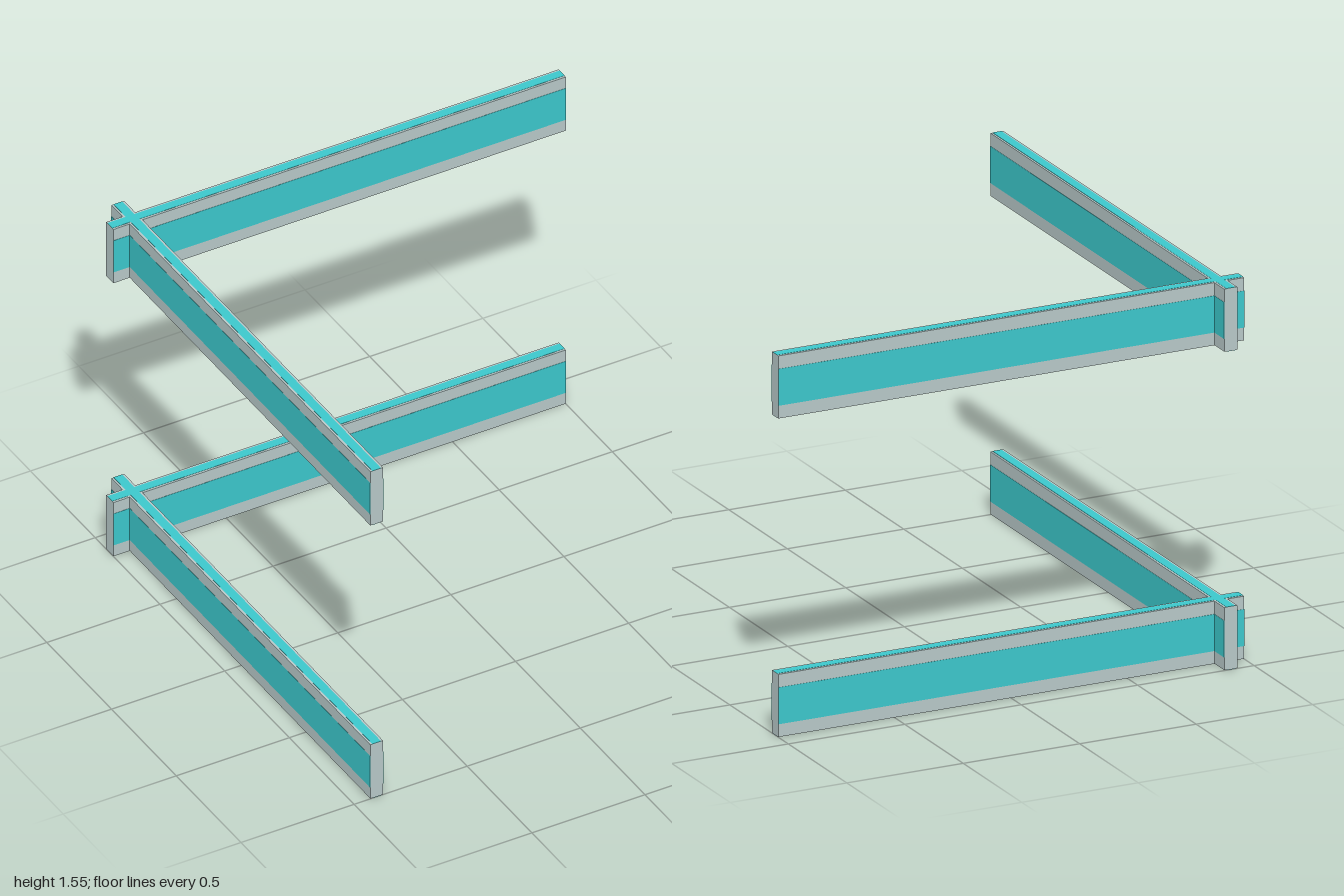
import * as THREE from 'three';

const LENGTH = 2, HEIGHT = 0.257, WIDTH = 0.058, SKIN = 0.001;

export function createModel() {
  const model = new THREE.Group();
  model.name = 'crossedBeams';

  const grey = new THREE.MeshStandardMaterial({ color: 0xb8c9c9 });
  grey.name = 'pale grey';
  const teal = new THREE.MeshStandardMaterial({ color: 0x3cc8cc });
  teal.name = 'teal';

  function addBox(parent, name, size, position, material) {
    const mesh = new THREE.Mesh(new THREE.BoxGeometry(...size), material);
    mesh.position.set(...position);
    mesh.name = name;
    parent.add(mesh);
  }

  // A beam along x standing on y = 0: grey body with thin teal panels
  function createBeam(name) {
    const beam = new THREE.Group();
    beam.name = name;
    addBox(beam, 'beamBody', [LENGTH, HEIGHT - 2 * SKIN, WIDTH - 2 * SKIN], [0, HEIGHT / 2, 0], grey);
    for (const side of [-1, 1]) {
      // Broad bands on the two long sides
      addBox(beam, 'sideBand', [LENGTH, 0.15, SKIN], [0, 0.128, side * (WIDTH - SKIN) / 2], teal);
      // Narrow strips along the top and bottom
      addBox(beam, 'edgeStrip', [LENGTH, SKIN, 0.038],
        [0, HEIGHT / 2 + side * (HEIGHT - SKIN) / 2, 0], teal);
    }
    return beam;
  }

  // Two levels, each with a back beam crossed by a side beam
  [['lower', 0], ['upper', 1.297]].forEach(([level, y]) => {
    const back = createBeam(level + 'BackBeam');
    back.position.set(0, y, -0.887);
    const side = createBeam(level + 'SideBeam');
    side.position.set(-0.9, y + 0.0004, 0);
    side.rotation.y = Math.PI / 2;
    model.add(back, side);
  });

  return model;
}
